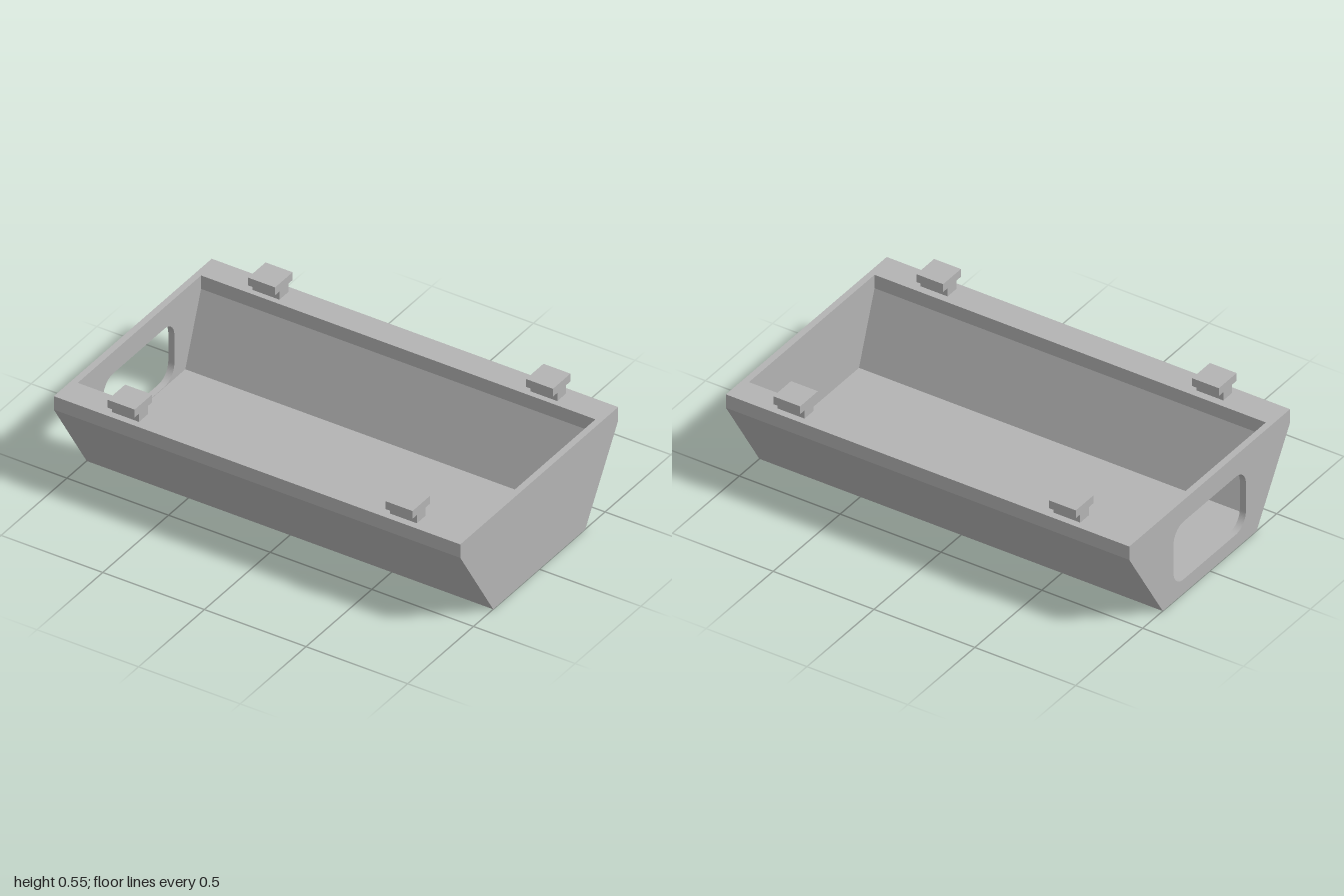
import * as THREE from 'three';

const LENGTH = 2, WALL = 0.03, RIM = 0.467;

// Shape from [z, y] points; the extrusion helper turns it to run along x.
const section = (points) => new THREE.Shape(points.map(([z, y]) => new THREE.Vector2(-z, y)));

function alongX(name, shape, x0, x1, material) {
  const geometry = new THREE.ExtrudeGeometry(shape, { depth: x1 - x0, bevelEnabled: false, curveSegments: 10 });
  geometry.rotateY(Math.PI / 2);
  geometry.translate(x0, 0, 0);
  const mesh = new THREE.Mesh(geometry, material);
  mesh.name = name;
  return mesh;
}

function roundedHole(w, y0, y1, r) {
  const p = new THREE.Path();
  p.absarc(w - r, y0 + r, r, -Math.PI / 2, 0);
  p.absarc(w - r, y1 - r, r, 0, Math.PI / 2);
  p.absarc(-w + r, y1 - r, r, Math.PI / 2, Math.PI);
  p.absarc(-w + r, y0 + r, r, Math.PI, Math.PI * 1.5);
  p.closePath();
  return p;
}

export function createModel() {
  const group = new THREE.Group();
  group.name = 'trough';
  const grey = new THREE.MeshStandardMaterial({ color: 0xb3b3b3 });
  grey.name = 'plain grey';

  const half = LENGTH / 2, inner = half - WALL;
  const outer = [[0.6, RIM], [0.6, 0.4], [0.35, 0], [-0.35, 0], [-0.6, 0.4], [-0.6, RIM]];
  const cavity = [[-0.473, RIM], [-0.473, 0.4], [-0.353, 0.067], [0.348, 0.067], [0.464, 0.4], [0.464, RIM]];

  // Long tapered body with an open top
  group.add(alongX('body', section([...outer, ...cavity]), -inner, inner, grey));

  // End walls: one solid, one with a rounded opening
  group.add(alongX('solidEndWall', section(outer), inner, half, grey));
  const openEnd = section(outer);
  openEnd.holes.push(roundedHole(0.27, 0.07, 0.36, 0.075));
  group.add(alongX('openEndWall', openEnd, -half, -inner, grey));

  // T-shaped clips on both rims
  const clip = (s) => section([
    [0.567, RIM], [0.567, 0.508], [0.6, 0.508], [0.6, 0.547],
    [0.467, 0.547], [0.467, 0.508], [0.5, 0.508], [0.5, RIM],
  ].map(([z, y]) => [s * z, y]));
  for (const [sideName, s] of [['front', 1], ['back', -1]]) {
    group.add(alongX(sideName + 'RightClip', clip(s), -0.735, -0.602, grey));
    group.add(alongX(sideName + 'LeftClip', clip(s), 0.632, 0.765, grey));
  }
  return group;
}
